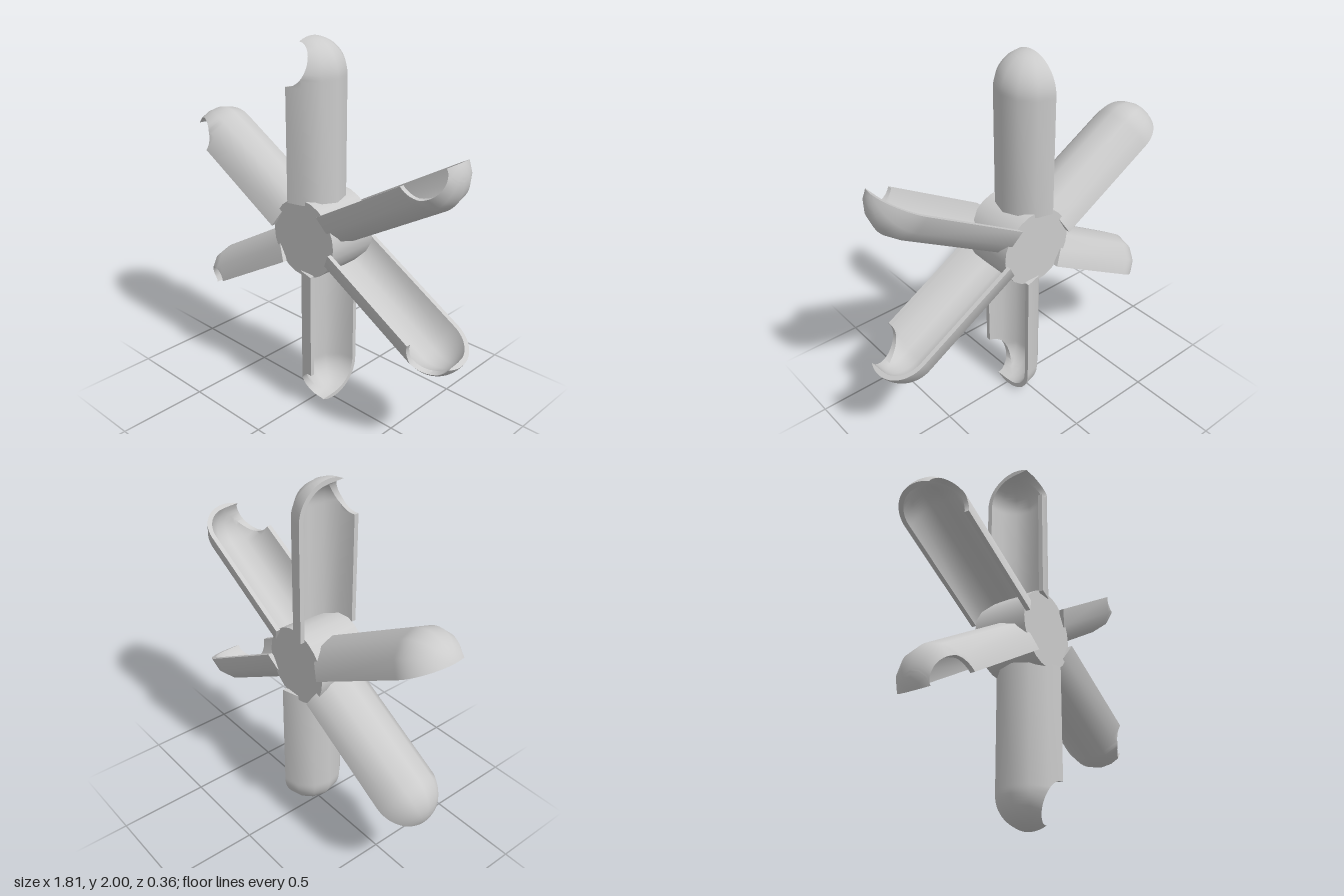
import * as THREE from 'three';
import { toCreasedNormals } from 'three/addons/utils/BufferGeometryUtils.js';

const OUTER = 0.18, INNER = 0.155;   // trough radii
const OPEN_X = -0.08;                // plane of the trough's open side
const START = 0.185, DOME = 0.82;    // root of the trough, centre of its domed end
const HOLE_Y = 0.88, HOLE_R = 0.1;   // round notch in the front wall
const SIDES = 6;                     // facets around the half round

// Stations along the trough, following the notch and then the tip
const stations = [START];
for (let i = 0; i <= 20; i++) stations.push(HOLE_Y - HOLE_R * Math.cos((i / 20) * Math.PI));
stations.push(0.985, 0.99, 0.994, 0.9975, 0.9993, 1);

// Cross-section at height y, from the front edge round the back to the rear edge
function section(y, radius) {
  const yy = Math.min(y, DOME + radius);
  const h = Math.max(0, yy - DOME);
  const r = Math.sqrt(Math.max(0, radius * radius - h * h));
  const cut = Math.sqrt(Math.max(0, HOLE_R ** 2 - (yy - HOLE_Y) ** 2));
  const first = r > 1e-6 ? Math.asin(Math.min(1, cut / r)) : 0;
  const step = Math.PI / SIDES;
  const points = [];
  for (let j = 0; j <= SIDES; j++) {
    const a = Math.max(first, j * step);
    const chord = Math.cos(step / 2) / Math.cos((a % step) - step / 2);
    const rho = r * Math.min(1, chord);
    points.push(new THREE.Vector3(OPEN_X + rho * Math.sin(a), yy, rho * Math.cos(a)));
  }
  return points;
}

// Adds a surface through rows of points
function addGrid(out, rows, flip) {
  const tri = (a, b, c) => {
    const area = b.clone().sub(a).cross(c.clone().sub(a)).length();
    if (area < 1e-9) return;
    for (const p of flip ? [a, c, b] : [a, b, c]) out.push(p.x, p.y, p.z);
  };
  for (let i = 0; i < rows.length - 1; i++) {
    for (let j = 0; j < rows[i].length - 1; j++) {
      const a = rows[i][j], b = rows[i][j + 1], c = rows[i + 1][j + 1], d = rows[i + 1][j];
      tri(a, b, d);
      tri(b, c, d);
    }
  }
}

// Half-round trough with a domed end, wall thickness and a notch
function troughGeometry() {
  const outer = stations.map((y) => section(y, OUTER));
  const inner = stations.map((y) => section(y, INNER));
  const edge = (rows, j) => rows.map((row) => row[j]);
  const out = [];
  addGrid(out, outer, false);
  addGrid(out, inner, true);
  addGrid(out, [edge(outer, 0), edge(inner, 0)], false);        // front rim and notch
  addGrid(out, [edge(outer, SIDES), edge(inner, SIDES)], true); // rear rim
  addGrid(out, [outer[0], inner[0]], true);                     // root end
  const geo = new THREE.BufferGeometry();
  geo.setAttribute('position', new THREE.Float32BufferAttribute(out, 3));
  return toCreasedNormals(geo, 0.7);
}

export function createModel() {
  const model = new THREE.Group();
  model.name = 'bucketWheel';
  const material = new THREE.MeshStandardMaterial({ color: 0xcccccc });

  const wheel = new THREE.Group();
  wheel.name = 'wheel';
  wheel.position.y = 1;
  model.add(wheel);

  // Hub
  const hub = new THREE.Mesh(new THREE.CylinderGeometry(0.21, 0.21, 0.3, 24), material);
  hub.name = 'hub';
  hub.rotation.x = Math.PI / 2;
  wheel.add(hub);

  // Six troughs around the hub
  const trough = troughGeometry();
  for (let i = 0; i < 6; i++) {
    const bucket = new THREE.Mesh(trough, material);
    bucket.name = 'bucket' + (i + 1);
    bucket.rotation.z = (i * Math.PI) / 3;
    wheel.add(bucket);
  }
  return model;
}
